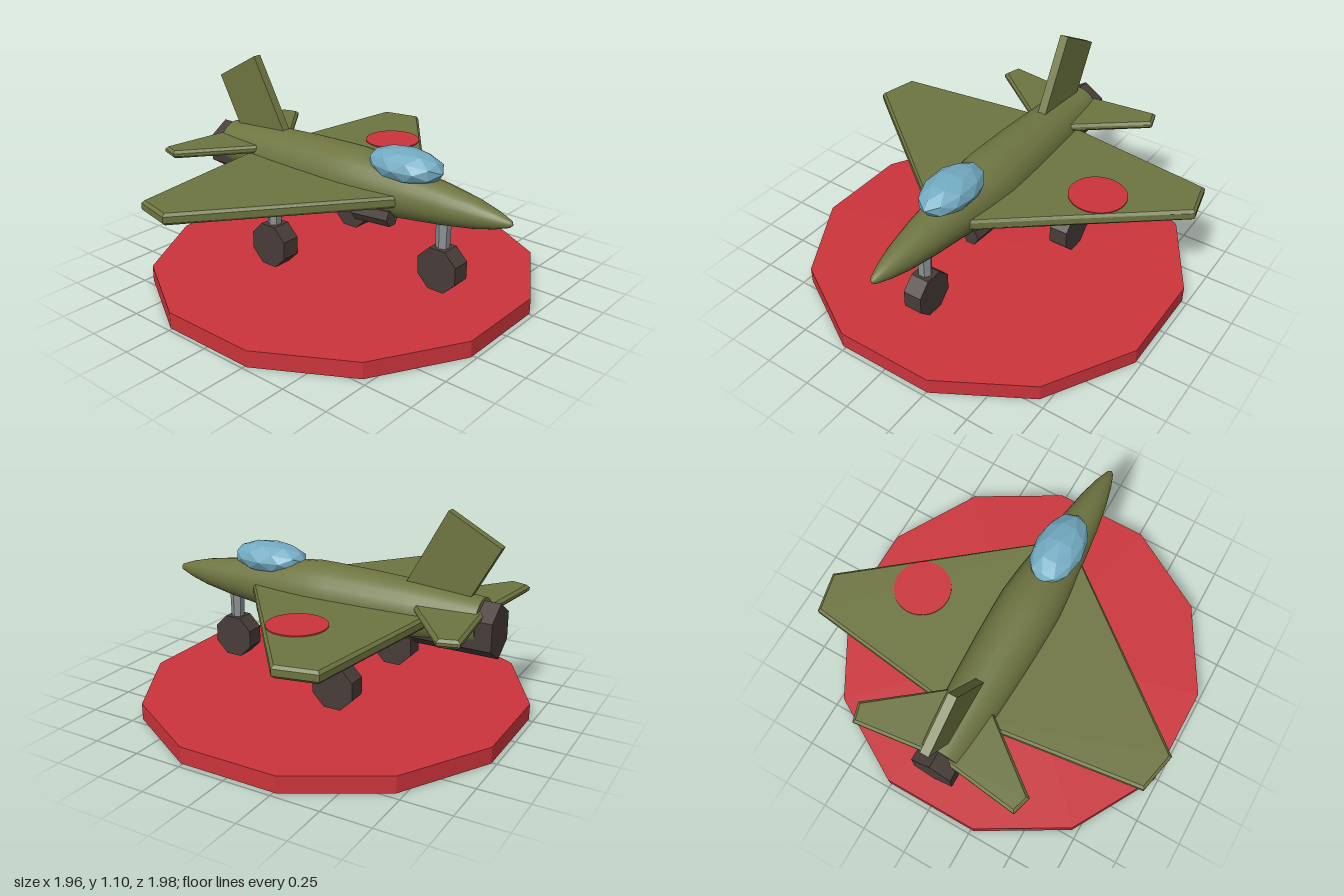
import * as THREE from 'three';

const mat = (name, color) => {
  const m = new THREE.MeshStandardMaterial({ color });
  m.name = name;
  return m;
};

export function createModel() {
  const olive = mat('olive', 0x6e7541);
  const red = mat('red', 0xcb343b);
  const dark = mat('dark brown', 0x483c38);
  const grey = mat('strut grey', 0x8f9396);
  const glass = mat('glass blue', 0x73abc2);

  const model = new THREE.Group();
  model.name = 'planeOnBase';
  const plane = new THREE.Group();
  plane.name = 'plane';
  plane.position.x = -0.008;
  model.add(plane);

  const add = (parent, name, geometry, material, x = 0, y = 0, z = 0) => {
    const mesh = new THREE.Mesh(geometry, material);
    mesh.name = name;
    mesh.position.set(x, y, z);
    parent.add(mesh);
    return mesh;
  };
  // faceted copy of a geometry
  const facet = (g) => {
    const flat = g.index ? g.toNonIndexed() : g;
    flat.computeVertexNormals();
    return flat;
  };
  // faceted prism whose first corner is turned by half a side
  const prism = (rTop, rBottom, h, sides) =>
    facet(new THREE.CylinderGeometry(rTop, rBottom, h, sides).rotateY(Math.PI / sides));

  // twelve-sided base
  add(model, 'base', prism(1.01, 1.01, 0.085, 12), red, -0.005, 0.0425, 0);

  // fuselage, nose towards +z
  const profile = [
    [0.12, -0.8], [0.13, -0.7], [0.148, -0.45], [0.16, -0.2], [0.165, 0], [0.166, 0.1],
    [0.152, 0.25], [0.124, 0.45], [0.1, 0.64], [0.073, 0.8], [0.045, 0.91], [0.018, 0.985], [0, 1],
  ].map(([r, z]) => new THREE.Vector2(r, z));
  add(plane, 'fuselage', new THREE.LatheGeometry(profile, 24).rotateX(Math.PI / 2), olive, 0, 0.575, 0);
  add(plane, 'fuselageEnd', new THREE.CircleGeometry(0.12, 24).rotateY(Math.PI), olive, 0, 0.575, -0.8);

  // engine nozzle
  const nozzle = prism(0.125, 0.125, 0.425, 6).rotateX(Math.PI / 2).rotateZ(Math.PI / 6);
  nozzle.scale(1, 1.12, 1);
  add(plane, 'nozzle', facet(nozzle), dark, 0, 0.543, -0.672);

  // bevelled plate from x,z corners
  const plate = (corners, thickness, side) => {
    const bevel = 0.014;
    const shape = new THREE.Shape(corners.map(([x, z]) => new THREE.Vector2(side * x, -z)));
    const g = new THREE.ExtrudeGeometry(shape, {
      depth: thickness - 2 * bevel, bevelEnabled: true, bevelSegments: 1,
      bevelThickness: bevel, bevelSize: bevel, bevelOffset: -bevel,
    });
    return g.translate(0, 0, bevel).rotateX(-Math.PI / 2);
  };
  const wing = [[0.04, 0.495], [0.98, -0.25], [0.935, -0.46], [0.04, -0.575]];
  const tail = [[0.04, -0.43], [0.48, -0.77], [0.45, -0.87], [0.04, -0.82]];

  // wheel and strut
  const gear = (name, x, z) => {
    const group = new THREE.Group();
    group.name = name;
    group.position.set(x, 0, z);
    plane.add(group);
    add(group, 'strut', prism(0.038, 0.032, 0.24, 6), grey, 0, 0.365, 0);
    add(group, 'wheel', prism(0.119, 0.119, 0.1, 8).rotateZ(Math.PI / 2), dark, 0, 0.243, 0);
  };
  gear('noseGear', 0, 0.625);

  for (const [label, side] of [['left', 1], ['right', -1]]) {
    add(plane, label + 'Wing', plate(wing, 0.06, side), olive, 0, 0.538, 0);
    add(plane, label + 'Tailplane', plate(tail, 0.042, side), olive, 0, 0.603, 0);
    gear(label + 'Gear', side * 0.322, -0.19);
    // air intake tucked under the wing root
    const intake = add(plane, label + 'Intake', prism(0.045, 0.045, 0.22, 6).rotateX(Math.PI / 2),
      dark, side * 0.105, 0.463, 0.285);
    intake.rotation.x = -0.08;
  }

  // tall swept fin
  const fin = add(plane, 'fin', new THREE.BoxGeometry(0.046, 0.5, 0.306), olive, 0, 0.803, -0.625);
  fin.rotation.x = -0.4995;

  // faceted canopy
  const canopy = new THREE.IcosahedronGeometry(1, 1).scale(0.127, 0.086, 0.215);
  add(plane, 'canopy', facet(canopy), glass, 0, 0.718, 0.395);

  // round marking on the left wing
  add(plane, 'wingMarking', new THREE.CylinderGeometry(0.148, 0.148, 0.008, 32), red, 0.527, 0.6, -0.095);

  return model;
}
